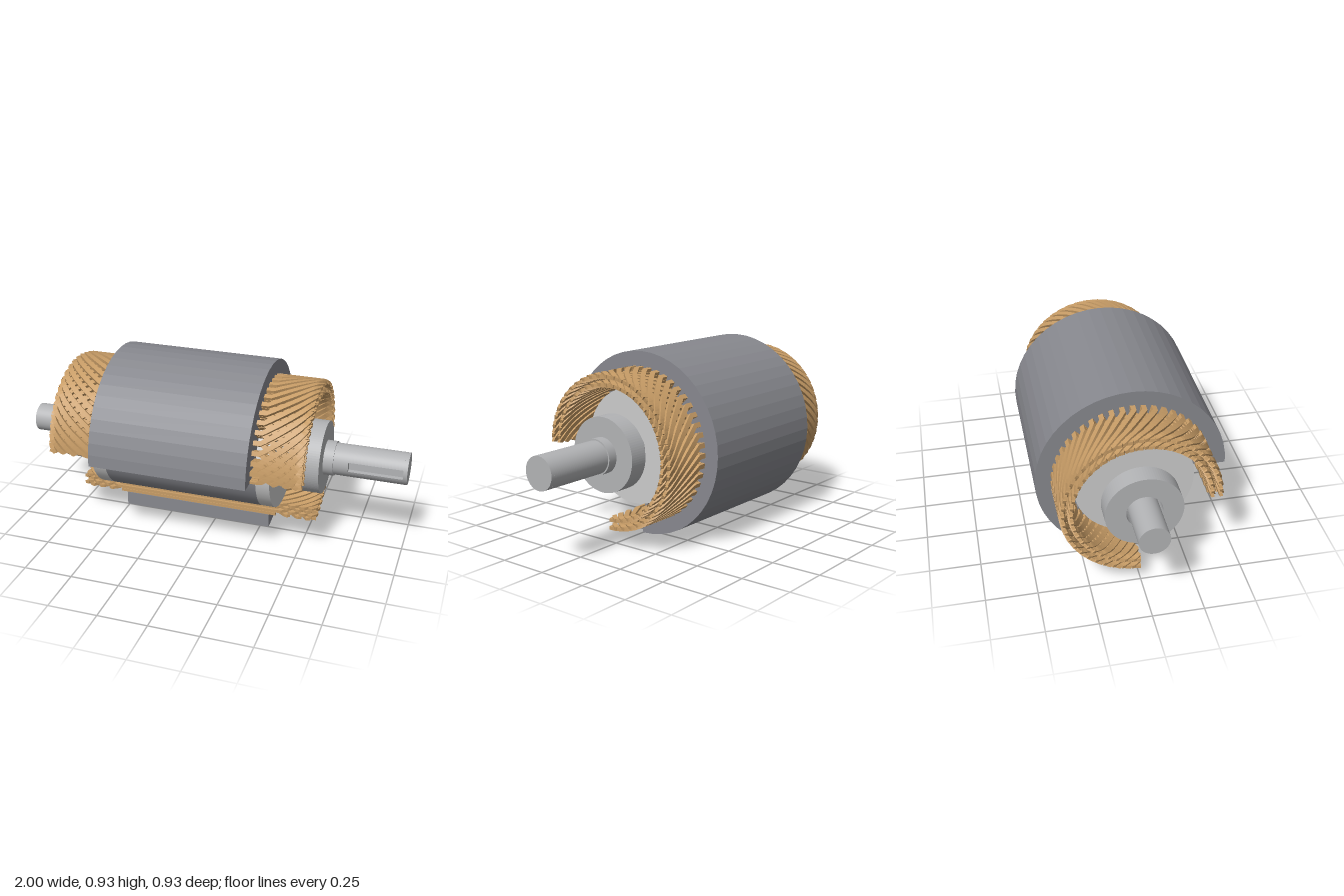
import * as THREE from 'three';
import { mergeGeometries } from 'three/addons/utils/BufferGeometryUtils.js';

const CY = 0.463;                 // height of the shaft axis
const X0 = -0.51, X1 = 0.295;     // ends of the laminated core
const SLOTS = 48, PITCH = (2 * Math.PI) / SLOTS;
const CUT = 1.5 * Math.PI;        // a quarter is cut away at the lower front
const BORE = 0.296, OUTER = 0.463;

const mat = (color, flatShading = false) => new THREE.MeshStandardMaterial({ color, flatShading });

// Angles run from the bottom over the back and the top to the front.
const polar = (r, a) => new THREE.Vector2(r * Math.sin(a), -r * Math.cos(a));

// Extrudes a (−z, y) outline along x.
function extrudeX(shape, x0, x1) {
  const g = new THREE.ExtrudeGeometry(shape, { depth: x1 - x0, bevelEnabled: false, curveSegments: 48 });
  g.rotateY(Math.PI / 2);
  return g.translate(x0, 0, 0);
}

function cylX(x0, x1, r) {
  const g = new THREE.CylinderGeometry(r, r, x1 - x0, 48);
  g.rotateZ(-Math.PI / 2);
  return g.translate((x0 + x1) / 2, 0, 0);
}

// Ring sector with slots; half a slot lies open on each cut face.
function statorGeometry() {
  const pts = [];
  for (let i = 0; i <= 36; i++) pts.push(polar(OUTER, (i / 36) * CUT));
  for (let k = 36; k >= 0; k--) {
    const a = k * PITCH;
    const side = (r, half, s) => polar(r, a + s * Math.asin(half / r));
    const right = [side(BORE, 0.009, 1), side(0.302, 0.009, 1), side(0.312, 0.0125, 1), side(0.39, 0.0125, 1)];
    const left = [side(0.39, 0.0125, -1), side(0.312, 0.0125, -1), side(0.302, 0.009, -1), side(BORE, 0.009, -1)];
    if (k < 36) pts.push(...right);
    else pts.push(polar(0.39, a));
    if (k > 0) pts.push(...left);
    else pts.push(polar(0.39, a));
  }
  return extrudeX(new THREE.Shape(pts), X0, X1);
}

// One conductor: a straight leg in its slot with a slanted half turn at each end.
function wirePath(a0, r, rMid, dir) {
  const half = (x, out) => {
    const p = [{ x, a: a0, r }];
    for (let i = 0; i <= 14; i++) {
      const t = i / 14;
      const d = 0.035 + 0.208 * (1 - Math.pow(1 - t, 1.45));
      p.push({ x: x + out * d, a: a0 + dir * 4 * PITCH * t,
        r: THREE.MathUtils.lerp(r, rMid, THREE.MathUtils.smoothstep(t, 0.8, 1)) });
    }
    return p;
  };
  return [...half(X0, -1).reverse(), ...half(X1, 1)];
}

// Splits a path into the runs that lie outside the cut-away quarter.
function clipRuns(path) {
  const runs = [];
  let run = [];
  const inside = (p) => p.a > -1e-6 && p.a < CUT + 1e-6;
  path.forEach((p, i) => {
    const q = path[i - 1];
    if (q && inside(q) !== inside(p)) {
      const edge = Math.min(q.a, p.a) < 0 ? 0 : CUT;
      const t = (edge - q.a) / (p.a - q.a), mix = THREE.MathUtils.lerp;
      if (t > 1e-3 && t < 0.999) run.push({ x: mix(q.x, p.x, t), a: edge, r: mix(q.r, p.r, t) });
    }
    if (inside(p)) run.push(p);
    else if (run.length && q && inside(q)) { runs.push(run); run = []; }
  });
  runs.push(run);
  return runs.filter((r) => r.length > 1);
}

// Sweeps a flat rectangular section along a run, trimmed flush at the cut faces.
function sweepWire(run) {
  const W = 0.012, H = 0.008, pos = [], idx = [];
  const pts = run.map((p) => {
    const v = polar(p.r, p.a);
    return new THREE.Vector3(p.x, v.y, -v.x);
  });
  pts.forEach((p, i) => {
    const T = pts[Math.min(i + 1, pts.length - 1)].clone().sub(pts[Math.max(i - 1, 0)]).normalize();
    const R = new THREE.Vector3(0, p.y, p.z).normalize();
    const B = T.clone().cross(R).normalize();
    for (const [u, v] of [[1, 1], [-1, 1], [-1, -1], [1, -1]]) {
      const c = p.clone().addScaledVector(R, u * H).addScaledVector(B, v * W);
      if (c.z > 0 && c.y < 0) {
        if (c.z < -c.y) c.z = 0;
        else c.y = 0;
      }
      pos.push(c.x, c.y, c.z);
    }
    if (i === 0) return;
    for (let j = 0; j < 4; j++) {
      const a = (i - 1) * 4 + j, b = (i - 1) * 4 + ((j + 1) % 4);
      idx.push(a, b, b + 4, a, b + 4, a + 4);
    }
  });
  const e = (pts.length - 1) * 4;
  idx.push(0, 2, 1, 0, 3, 2, e, e + 1, e + 2, e, e + 2, e + 3);
  const g = new THREE.BufferGeometry();
  g.setAttribute('position', new THREE.Float32BufferAttribute(pos, 3));
  g.setIndex(idx);
  g.computeVertexNormals();
  return g;
}

// Four layers in two pairs; the layers of a pair slant in opposite directions.
function windingGeometry() {
  const layers = [0.322, 0.339, 0.362, 0.38], parts = [];
  layers.forEach((r, l) => {
    const pair = l < 2 ? 0 : 2;
    const mid = (layers[pair] + layers[pair + 1]) / 2;
    for (let k = -5; k <= 41; k++) {
      for (const run of clipRuns(wirePath(k * PITCH, r, mid, l % 2 ? -1 : 1))) parts.push(sweepWire(run));
    }
  });
  return mergeGeometries(parts);
}

// Shaft section with a keyway open to the front.
function keywayGeometry(x0, x1, r) {
  const w = 0.025, a = Math.asin(w / r), s = new THREE.Shape();
  s.absarc(0, 0, r, -Math.PI + a, Math.PI - a, false);
  s.lineTo(-r + 0.03, w);
  s.lineTo(-r + 0.03, -w);
  s.closePath();
  return extrudeX(s, x0, x1);
}

function bearingGeometry(x0, x1) {
  const s = new THREE.Shape().absarc(0, 0, 0.185, 0, Math.PI * 2, false);
  s.holes.push(new THREE.Path().absarc(0, 0, 0.086, 0, Math.PI * 2, true));
  return extrudeX(s, x0, x1);
}

export function createModel() {
  const model = new THREE.Group();
  model.name = 'cutawayElectricMotor';
  const machine = new THREE.Group();
  machine.name = 'machine';
  machine.position.y = CY;
  model.add(machine);

  const steel = mat(0x87888e), light = mat(0xcccccc), grey = mat(0xb2b3b5);
  const copper = mat(0xc79c66, true);
  const add = (name, geometry, material) => {
    const m = new THREE.Mesh(geometry, material);
    m.name = name;
    machine.add(m);
  };

  // Stationary parts
  add('statorCore', statorGeometry(), steel);
  add('winding', windingGeometry(), copper);

  // Rotor
  add('rotorCore', cylX(X0, X1, 0.29), steel);
  add('rotorEndRingRight', cylX(-0.58, X0, 0.29), light);
  add('rotorEndRingLeft', cylX(X1, 0.365, 0.29), light);

  // Shaft and bearings
  add('shaftRear', cylX(-1, -0.58, 0.073), grey);
  add('shaftInner', cylX(0.365, 0.585, 0.075), grey);
  add('shaftCollar', cylX(0.49, 0.635, 0.088), grey);
  add('shaftFront', cylX(0.635, 0.71, 0.081), grey);
  add('shaftKeyway', keywayGeometry(0.71, 0.98, 0.081), grey);
  add('shaftTip', cylX(0.98, 1, 0.081), grey);
  add('bearingRight', bearingGeometry(-0.8, -0.705), grey);
  add('bearingLeft', bearingGeometry(0.49, 0.585), grey);
  return model;
}
